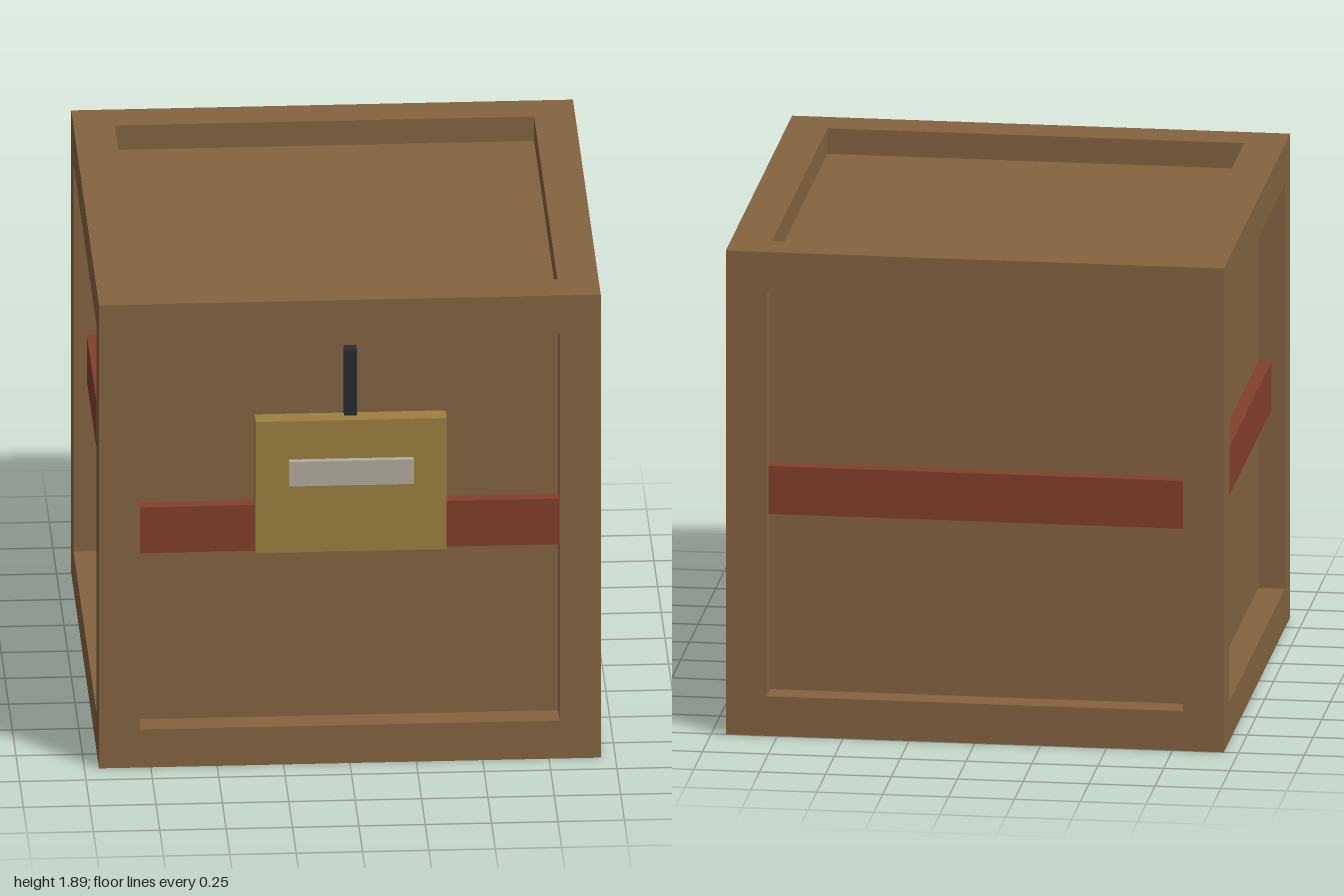
import * as THREE from 'three';

const material = (name, color) => {
  const m = new THREE.MeshStandardMaterial({ color });
  m.name = name;
  return m;
};

export function createModel() {
  const wood = material('brown wood', 0x856441);
  const red = material('red band', 0x843f2c);
  const brass = material('brass', 0x9c8040);
  const dark = material('dark iron', 0x2a2c2f);
  const silver = material('silver', 0xb2aca0);

  const model = new THREE.Group();
  model.name = 'crate';

  const box = (parent, name, mat, size, pos) => {
    const mesh = new THREE.Mesh(new THREE.BoxGeometry(...size), mat);
    mesh.name = name;
    mesh.position.set(...pos);
    parent.add(mesh);
    return mesh;
  };

  const S = 1.89;            // crate side
  const W = 0.155;           // frame bar width
  const inner = S - 2 * W;   // opening between bars
  const off = (S - W) / 2;   // bar centre offset

  // Crate body, centred on its own origin
  const body = new THREE.Group();
  body.name = 'crateBody';
  body.position.set(0, S / 2, -0.055);
  model.add(body);

  // Recessed panels and the band wrapped around them
  box(body, 'panels', wood, [S - 0.2, S - 0.2, S - 0.2], [0, 0, 0]);
  box(body, 'band', red, [S - 0.1, 0.187, S - 0.1], [0, 0.002, 0]);

  // Frame: posts run full height, rails fit between them
  for (const a of [-off, off]) {
    for (const b of [-off, off]) {
      box(body, 'post', wood, [W, S, W], [a, 0, b]);
      box(body, 'railAcross', wood, [inner, W, W], [0, a, b]);
      box(body, 'railDeep', wood, [W, W, inner], [a, b, 0]);
    }
  }

  // Lock on the front
  const lock = new THREE.Group();
  lock.name = 'lock';
  model.add(lock);
  box(lock, 'lockPlate', brass, [0.72, 0.535, 0.075], [0, 1.168, 0.9375]);
  box(lock, 'lockSlot', silver, [0.47, 0.1, 0.04], [0, 1.23, 0.98]);
  box(lock, 'lockBar', dark, [0.048, 0.315, 0.048], [0, 1.546, 0.906]);

  return model;
}
